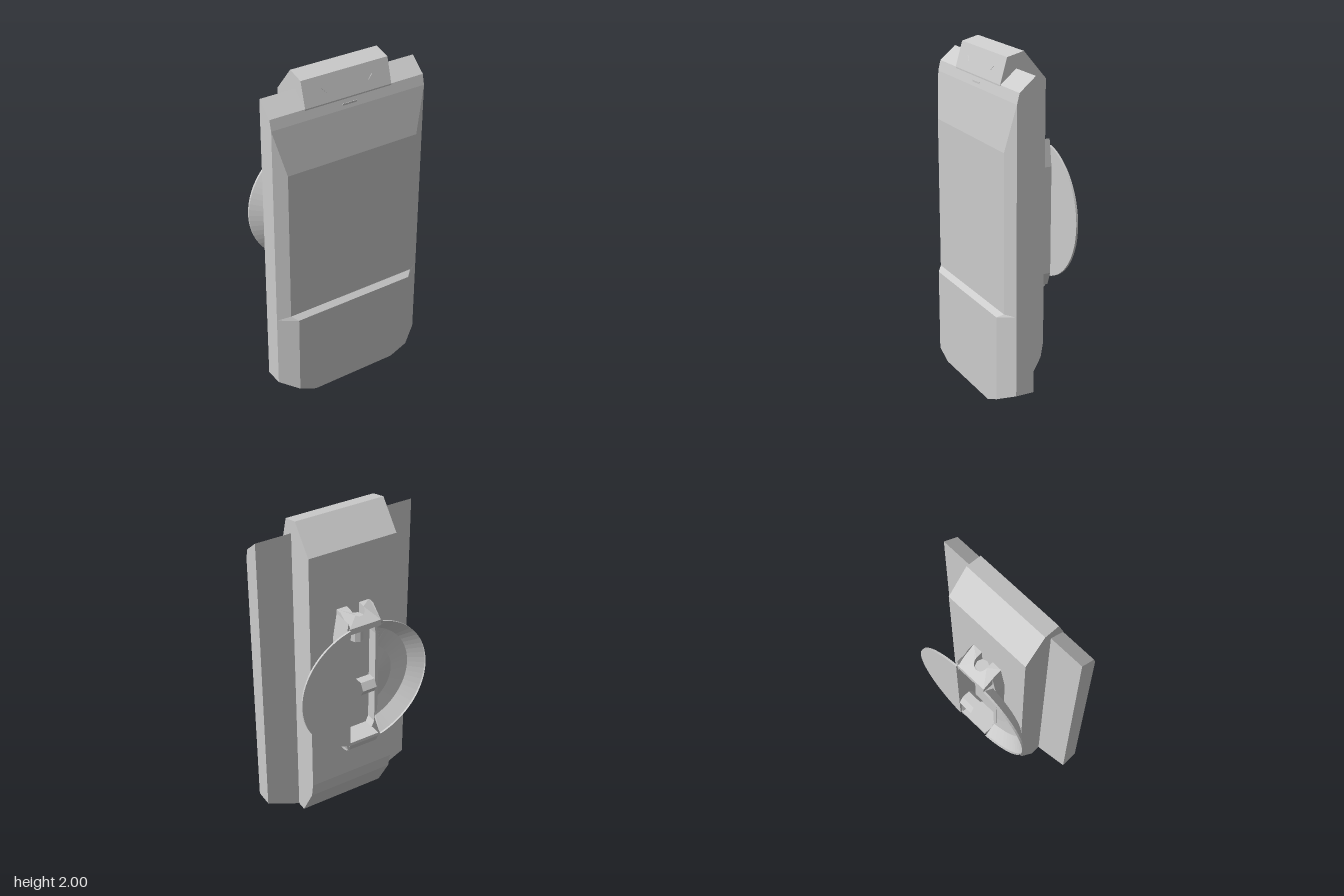
import * as THREE from 'three';

const mat = new THREE.MeshStandardMaterial({ color: 0xcccccc, flatShading: true, side: THREE.DoubleSide });
const DISC_Y = 1.01, DISC_R = 0.41;

function add(parent, name, geometry) {
  const mesh = new THREE.Mesh(geometry, mat);
  mesh.name = name;
  parent.add(mesh);
  return mesh;
}

const shapeOf = (pts) => new THREE.Shape(pts.map(([a, b]) => new THREE.Vector2(a, b)));
const extrude = (shape, depth, curveSegments = 8) =>
  new THREE.ExtrudeGeometry(shape, { depth, bevelEnabled: false, curveSegments });

// Side profile given as [z, y], extruded across the width and centred on x = 0
function acrossX(profile, width) {
  return extrude(shapeOf(profile), width).rotateY(-Math.PI / 2).translate(width / 2, 0, 0);
}

// Stack of mirrored horizontal sections: [y, sideX, sideZ, frontX, frontZ]
function loftPlate(rows, backZ) {
  const pos = [], index = [], n = 6;
  for (const [y, xs, zs, xf, zf] of rows) {
    pos.push(-xs, y, backZ, -xs, y, zs, -xf, y, zf, xf, y, zf, xs, y, zs, xs, y, backZ);
  }
  for (let i = 0; i < rows.length - 1; i++) {
    for (let j = 0; j < n; j++) {
      const a = i * n + j, b = i * n + (j + 1) % n;
      index.push(a, b, b + n, a, b + n, a + n);
    }
  }
  const top = (rows.length - 1) * n;
  for (let j = 1; j < n - 1; j++) index.push(0, j + 1, j, top, top + j, top + j + 1);
  const g = new THREE.BufferGeometry();
  g.setAttribute('position', new THREE.Float32BufferAttribute(pos, 3));
  g.setIndex(index);
  const flat = g.toNonIndexed();
  flat.computeVertexNormals();
  return flat;
}

export function createModel() {
  const model = new THREE.Group();
  model.name = 'model';

  // Wide front plate with chamfered edges, a step and a sloping upper end
  add(model, 'frontPlate', loftPlate([
    [0, 0.275, 0.27, 0.275, 0.27],
    [0.05, 0.385, 0.27, 0.385, 0.27],
    [0.1, 0.49, 0.2, 0.385, 0.27],
    [0.555, 0.49, 0.2, 0.385, 0.27],
    [0.58, 0.49, 0.2, 0.42, 0.24],
    [1.5, 0.49, 0.2, 0.42, 0.24],
    [1.77, 0.49, 0.2, 0.49, 0.2],
    [1.83, 0.49, 0.185, 0.49, 0.185],
    [1.91, 0.49, 0.09, 0.49, 0.09],
  ], 0.09));

  // Narrow rear body
  add(model, 'rearBody', acrossX([
    [0.18, 0], [0.03, 0], [-0.075, 0.19], [-0.09, 0.28], [-0.09, 1.84],
    [0.045, 2], [0.145, 1.975], [0.187, 1.83],
  ], 0.55));

  // Shallow V marking at the upper front, with its small ledge
  const vMark = new THREE.Group();
  vMark.name = 'frontNotch';
  model.add(vMark);
  for (const s of [-1, 1]) {
    const rib = new THREE.LineCurve3(new THREE.Vector3(0.045 * s, 1.795, 0.188), new THREE.Vector3(0.16 * s, 1.91, 0.162));
    add(vMark, 'notchEdge', new THREE.TubeGeometry(rib, 1, 0.004, 4));
  }
  add(vMark, 'notchLedge', new THREE.BoxGeometry(0.09, 0.02, 0.02)).position.set(0, 1.79, 0.185);

  // Raised mount on the back
  const mount = new THREE.Group();
  mount.name = 'mount';
  model.add(mount);

  // Mount side walls: full height on one side, low on the bowl side
  for (const [s, depth] of [[1, 0.127], [-1, 0.068]]) {
    const wall = shapeOf([
      [0.1, 0.56], [0.13, 0.64], [0.13, 1.29], [0.105, 1.45],
      [0.09, 1.4], [0.11, 1.28], [0.11, 0.66], [0.085, 0.6],
    ].map(([x, y]) => [x * s, y]));
    add(mount, 'mountWall', extrude(wall, depth).translate(0, 0, -0.088 - depth));
  }

  // Upper end of the mount with an arched opening and a sloping top
  const arch = shapeOf([[0.04, 0.088], [0.105, 0.088], [0.105, 0.13], [0.1, 0.22],
    [-0.1, 0.22], [-0.105, 0.13], [-0.105, 0.088], [-0.04, 0.088], [-0.04, 0.135]]);
  arch.absarc(0, 0.135, 0.04, Math.PI, 0, true);
  const upper = extrude(arch, 0.1).rotateX(-Math.PI / 2).translate(0, 1.375, 0);
  const p = upper.attributes.position;
  for (let i = 0; i < p.count; i++) {
    if (p.getY(i) > 1.45) p.setY(i, 1.475 - 0.7 * Math.max(0, -p.getZ(i) - 0.13));
  }
  upper.computeVertexNormals();
  add(mount, 'mountUpperEnd', upper);

  // Lower end of the mount
  add(mount, 'mountLowerEnd', acrossX([
    [-0.088, 0.55], [-0.13, 0.535], [-0.16, 0.535], [-0.195, 0.55],
    [-0.22, 0.6], [-0.22, 0.62], [-0.088, 0.62],
  ], 0.2));

  // Rod in the arch, and the open cross pin at the disc centre
  add(mount, 'archRod', new THREE.CylinderGeometry(0.039, 0.039, 0.15, 8)).position.set(0, 1.345, -0.13);
  const pin = add(mount, 'crossPin',
    new THREE.CylinderGeometry(0.05, 0.05, 0.09, 6, 1, true).rotateZ(Math.PI / 2));
  pin.material = mat.clone();
  pin.material.side = THREE.FrontSide;
  pin.position.set(0, DISC_Y, -0.225);

  // Flat half of the disc
  const cut = Math.asin(0.1 / DISC_R);
  const half = new THREE.Shape();
  half.absarc(0, 0, DISC_R, -Math.PI / 2 + cut, Math.PI / 2 - cut, false);
  half.closePath();
  add(model, 'flatHalfDisc', extrude(half, 0.012, 32).translate(0, DISC_Y, -0.23));

  // Hollowed half of the disc, trimmed along the mount
  const start = Math.asin(0.11 / DISC_R);
  const bowl = new THREE.LatheGeometry(
    [[DISC_R, -0.23], [DISC_R, -0.218], [0.33, -0.157], [0.22, -0.152], [0, -0.155]]
      .map(([r, h]) => new THREE.Vector2(r, h)),
    28, Math.PI + start, Math.PI - 2 * start).rotateX(Math.PI / 2);
  const b = bowl.attributes.position;
  for (let i = 0; i < b.count; i++) b.setX(i, Math.min(b.getX(i), -0.11));
  bowl.computeVertexNormals();
  add(model, 'bowlHalfDisc', bowl.translate(0, DISC_Y, 0));

  return model;
}
